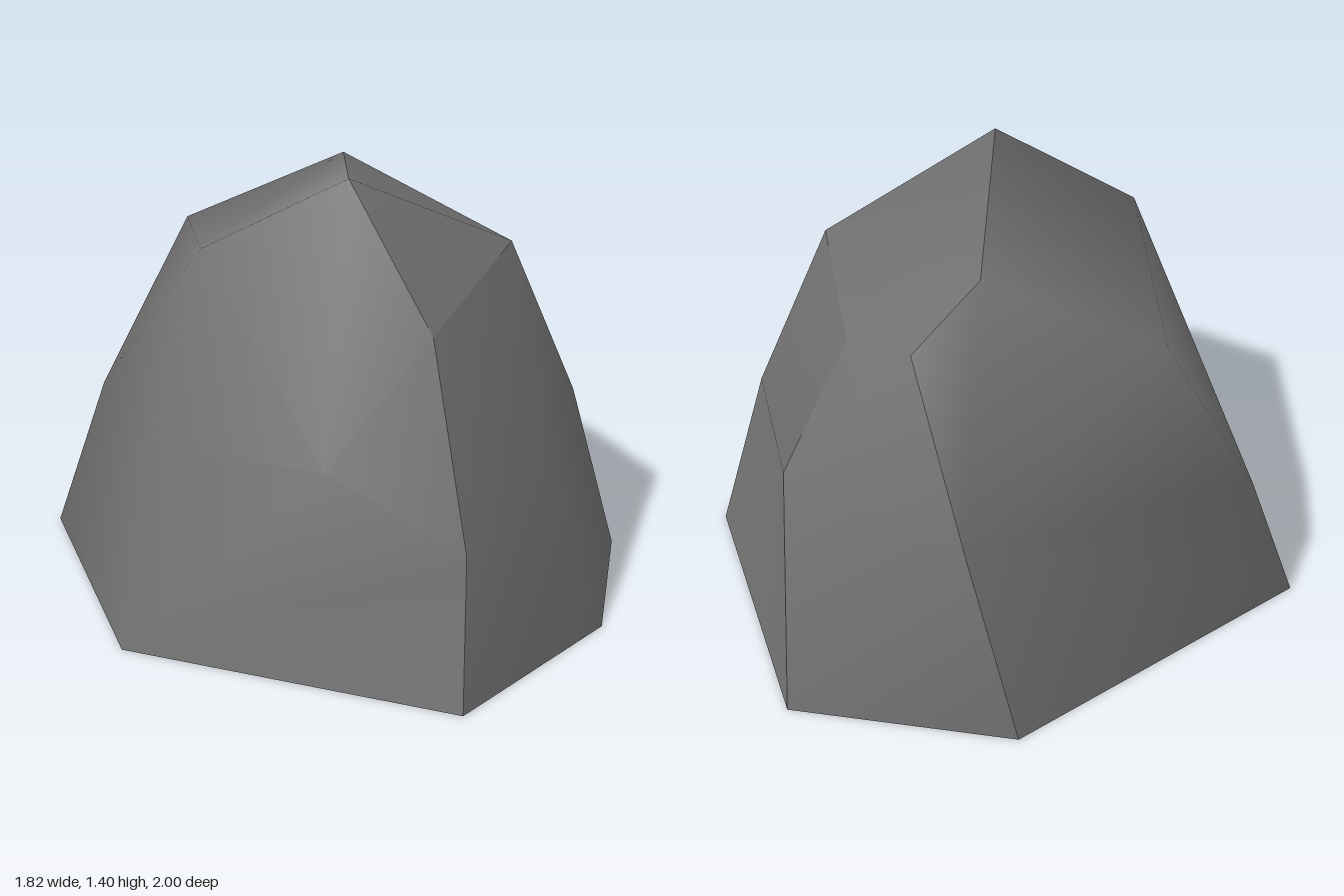
import * as THREE from 'three';

// Key corners of the boulder: b = ground ring, m = middle ring, t = upper ring
const P = {
  b0: [0.13, 0, -1], b1: [0.8, 0, -0.73], b2: [0.91, 0, 0.18], b3: [0.62, 0, 0.68],
  b4: [0.02, 0, 1], b5: [-0.85, 0, 0.35], b6: [-0.91, 0, -0.59],
  m0: [0.27, 0.72, -0.9], m1: [0.72, 0.71, -0.44], m2: [0.73, 0.6, 0.17], m3: [0.48, 0.53, 0.56],
  m4: [0.07, 0.44, 0.87], m5: [-0.28, 0.65, 0.64], m6: [-0.71, 0.6, 0.2], m7: [-0.72, 0.51, -0.59],
  t0: [-0.08, 1.4, 0.24], t1: [0.12, 1.31, -0.44], t2: [0.34, 1.15, -0.53], t3: [0.49, 1.06, -0.3],
  t4: [0.48, 1.14, 0.18], t5: [0.09, 0.98, 0.52], t6: [-0.5, 1.18, 0.09], t7: [-0.4, 1.09, -0.58],
};

// Each patch is smooth inside and meets its neighbours at a hard edge
const PATCHES = {
  weatheredLeftSide: ['b5 b4 m4 m5', 'm5 m4 t5 t0', 't0 t6 m5', 't6 m6 m5', 'm6 b5 m5',
    'b6 b5 m6 m7', 'm7 m6 t6 t7', 't6 t0 t1 t7', 'm0 b0 b6 m7 t7', 'm0 t7 t1 t2'],
  backChippedFace: ['b1 b0 m0 m1', 'm1 m0 t2 t3'],
  rightFace: ['m2 b2 b1 m1', 'm2 m1 t3 t4'],
  frontFace: ['b4 b3 m3 m4', 'b3 b2 m2 m3', 'm4 m3 t4 t5', 'm3 m2 t4'],
  topFace: ['t4 t3 t2 t1 t0 t5'],
  underside: ['b5 b6 b0 b1 b2 b3 b4'],
};

// Fans every polygon of a patch into triangles with shared corners
function patchGeometry(polygons) {
  const names = [...new Set(polygons.join(' ').split(' '))];
  const index = [];
  for (const polygon of polygons) {
    const ids = polygon.split(' ').map((n) => names.indexOf(n));
    for (let i = 1; i < ids.length - 1; i++) index.push(ids[0], ids[i], ids[i + 1]);
  }
  const geometry = new THREE.BufferGeometry();
  geometry.setAttribute('position', new THREE.Float32BufferAttribute(names.flatMap((n) => P[n]), 3));
  geometry.setIndex(index);
  geometry.computeVertexNormals();
  return geometry;
}

export function createModel() {
  const stone = new THREE.MeshStandardMaterial({ color: 0x707070 });
  stone.name = 'grey stone';
  const boulder = new THREE.Group();
  boulder.name = 'boulder';
  for (const [name, polygons] of Object.entries(PATCHES)) {
    const mesh = new THREE.Mesh(patchGeometry(polygons), stone);
    mesh.name = name;
    boulder.add(mesh);
  }
  return boulder;
}
